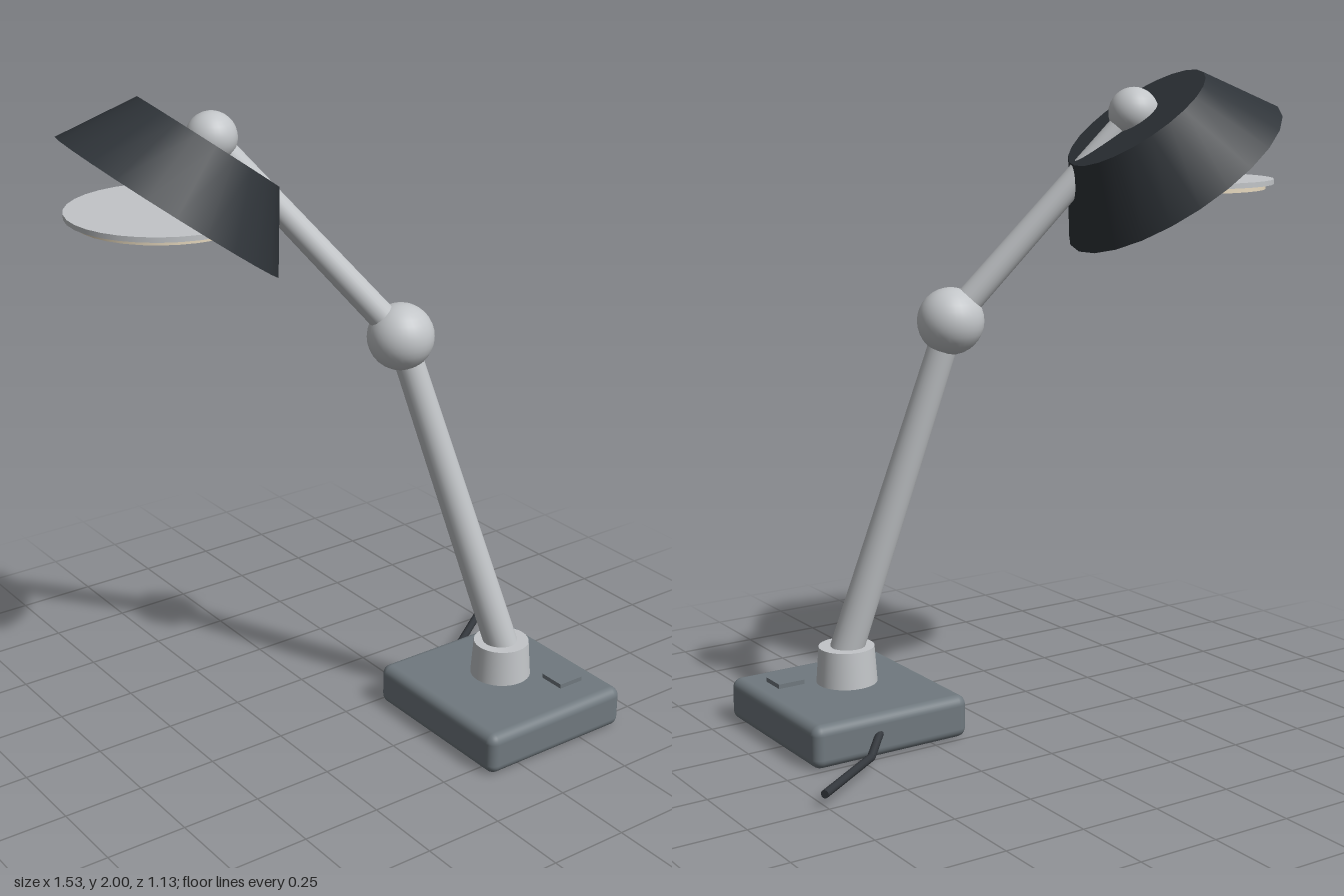
import * as THREE from 'three';
import { RoundedBoxGeometry } from 'three/addons/geometries/RoundedBoxGeometry.js';

const V = (x, y, z) => new THREE.Vector3(x, y, z);
const UP = V(0, 1, 0);

function material(name, color, side = THREE.FrontSide) {
  const m = new THREE.MeshStandardMaterial({ color, side });
  m.name = name;
  return m;
}

export function createModel() {
  const lamp = new THREE.Group();
  lamp.name = 'deskLamp';

  const metal = material('lightMetal', 0xc2c5c8);
  const slate = material('slateGrey', 0x70797f);
  const dark = material('charcoal', 0x2e3338, THREE.DoubleSide);
  const cable = material('cableGrey', 0x33373c);
  const glow = material('warmWhite', 0xeadcc2);

  function add(name, geometry, mat, position) {
    const mesh = new THREE.Mesh(geometry, mat);
    mesh.name = name;
    mesh.position.copy(position);
    lamp.add(mesh);
    return mesh;
  }

  // Tapered rod running from a to b
  function rod(name, a, b, rA, rB, mat, sides = 24, open = false) {
    const axis = b.clone().sub(a);
    const geometry = new THREE.CylinderGeometry(rB, rA, axis.length(), sides, 1, open);
    const mesh = add(name, geometry, mat, a.clone().lerp(b, 0.5));
    mesh.quaternion.setFromUnitVectors(UP, axis.normalize());
    return mesh;
  }

  const ball = (name, p, r, mat, n = 32) =>
    add(name, new THREE.SphereGeometry(r, n, n / 2), mat, p);

  // Base, switch and collar
  add('base', new RoundedBoxGeometry(0.526, 0.132, 0.56, 4, 0.03), slate, V(0.392, 0.066, 0.285));
  add('switch', new THREE.BoxGeometry(0.088, 0.014, 0.085), slate, V(0.537, 0.14, 0.417));
  const foot = V(0.392, 0.25, 0.287);
  rod('collar', V(0.392, 0.15, 0.287), V(0.392, 0.262, 0.287), 0.094, 0.086, metal, 32);

  // Jointed arm
  const elbow = V(0.13, 1.267, 0.094);
  const head = V(-0.34, 1.875, -0.168);
  rod('lowerArm', foot, elbow, 0.052, 0.043, metal);
  ball('elbowJoint', elbow, 0.1, metal);
  rod('upperArm', elbow, head, 0.042, 0.036, metal);
  ball('headJoint', head, 0.074, metal);

  // Tilted shade: open cone with a flat lid
  const tilt = V(0.576, 0.81, 0.115).normalize();
  const lidCentre = V(-0.346, 1.861, -0.172);
  const rimCentre = lidCentre.clone().addScaledVector(tilt, -0.215);
  rod('shade', rimCentre, lidCentre, 0.366, 0.234, dark, 24, true);
  const lid = add('shadeLid', new THREE.CircleGeometry(0.234, 24).rotateX(-Math.PI / 2), dark, lidCentre);
  lid.quaternion.setFromUnitVectors(UP, tilt);

  // Level light panel under the shade
  add('lightPanel', new THREE.CylinderGeometry(0.286, 0.286, 0.015, 32), metal, V(-0.471, 1.675, -0.21));
  add('diffuser', new THREE.CylinderGeometry(0.262, 0.262, 0.014, 32), glow, V(-0.471, 1.66, -0.21));

  // Power cord leaving the back of the base
  const cord = [V(0.43, 0.075, 0.02), V(0.512, 0.041, -0.068), V(0.757, 0.041, -0.238)];
  rod('cordStart', cord[0], cord[1], 0.0125, 0.0125, cable, 10);
  rod('cordEnd', cord[1], cord[2], 0.0125, 0.0125, cable, 10);
  ball('cordBend', cord[1], 0.0125, cable, 10);

  return lamp;
}
